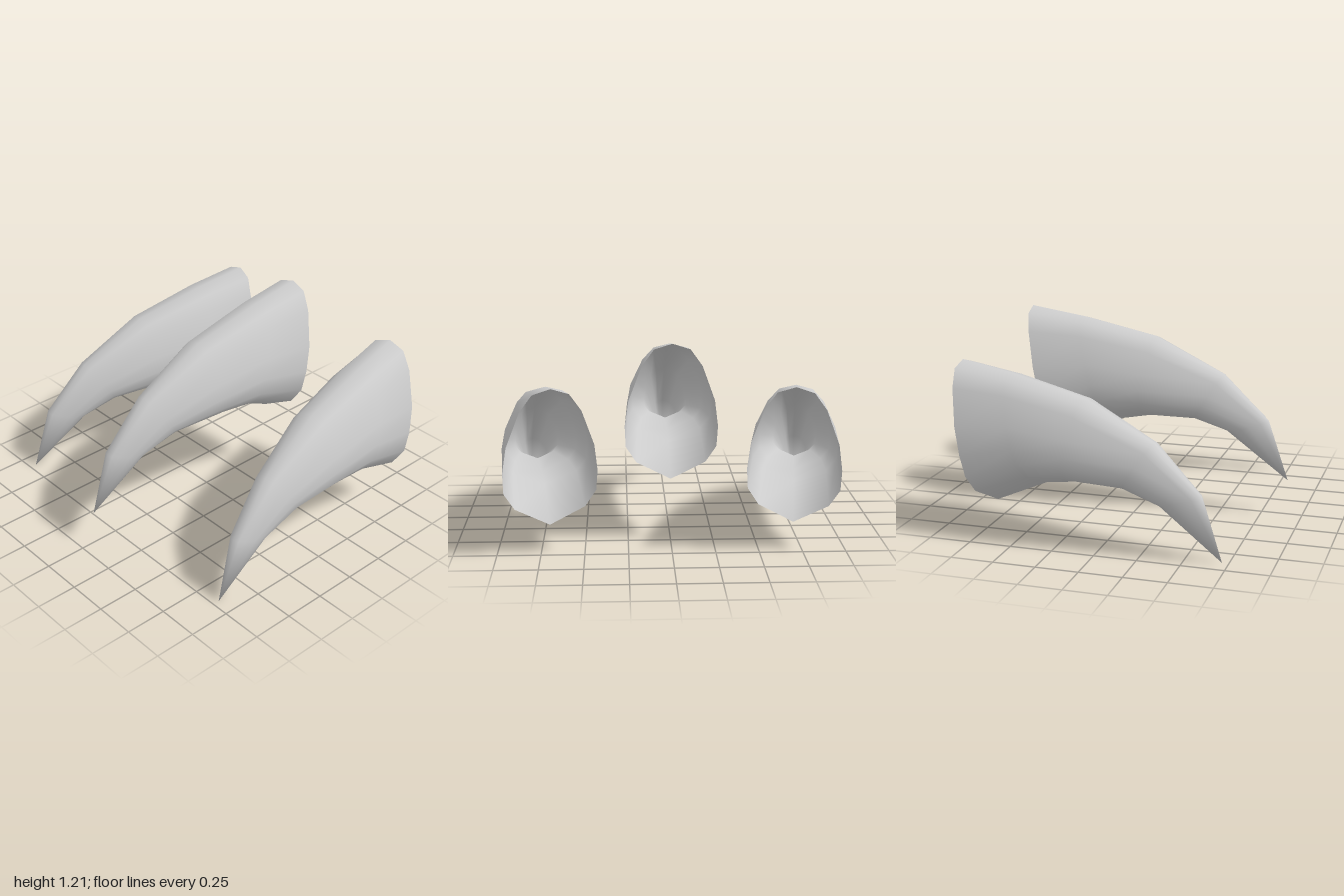
import * as THREE from 'three';

// Egg-shaped half section from crest to keel: [share of half width, share of height]
const HALF = [[0, 1], [0.38, 0.96], [0.64, 0.84], [0.92, 0.59], [1, 0.4], [0.98, 0.25], [0.75, 0.13], [0, 0]];
const SECTION = [...HALF, ...HALF.slice(1, -1).reverse().map(([u, v]) => [-u, v])];

// Slanted rings from front to back: crest z, crest y, keel z, keel y, half width
const RINGS = [
  [0.78, 0.58, 0.52, 0.5, 0.08],
  [0.5, 0.85, 0.32, 0.56, 0.135],
  [0.07, 1.06, 0.0, 0.56, 0.215],
  [-0.4, 1.16, -0.19, 0.53, 0.25],
  [-0.73, 1.21, -0.52, 0.38, 0.267],
];
const TIP = [0, 0.215, 0.905];

// Hollow curved claw: pointed tip, skin lofted through the rings, open at the back
function clawGeometry() {
  const positions = [...TIP];
  const index = [];
  const n = SECTION.length;
  for (const [cz, cy, kz, ky, w] of RINGS) {
    for (const [u, v] of SECTION) {
      positions.push(u * w, ky + (cy - ky) * v, kz + (cz - kz) * v);
    }
  }
  const at = (i, j) => 1 + i * n + (j % n);
  for (let j = 0; j < n; j++) {
    index.push(0, at(0, j + 1), at(0, j));
    for (let i = 0; i < RINGS.length - 1; i++) {
      index.push(at(i, j), at(i, j + 1), at(i + 1, j));
      index.push(at(i, j + 1), at(i + 1, j + 1), at(i + 1, j));
    }
  }
  const geometry = new THREE.BufferGeometry();
  geometry.setAttribute('position', new THREE.Float32BufferAttribute(positions, 3));
  geometry.setIndex(index);
  geometry.computeVertexNormals();
  return geometry;
}

export function createModel() {
  const group = new THREE.Group();
  group.name = 'claws';
  const geometry = clawGeometry();
  const material = new THREE.MeshStandardMaterial({ color: 0xcccccc, side: THREE.DoubleSide });

  // Middle claw sits higher and forward; the outer two splay outwards
  for (const [name, side] of [['middleClaw', 0], ['leftClaw', 1], ['rightClaw', -1]]) {
    const claw = new THREE.Mesh(geometry, material);
    claw.name = name;
    if (side) {
      claw.position.set(side * 0.77, -0.215, -0.185);
      claw.rotation.y = side * THREE.MathUtils.degToRad(8);
    }
    group.add(claw);
  }
  return group;
}
